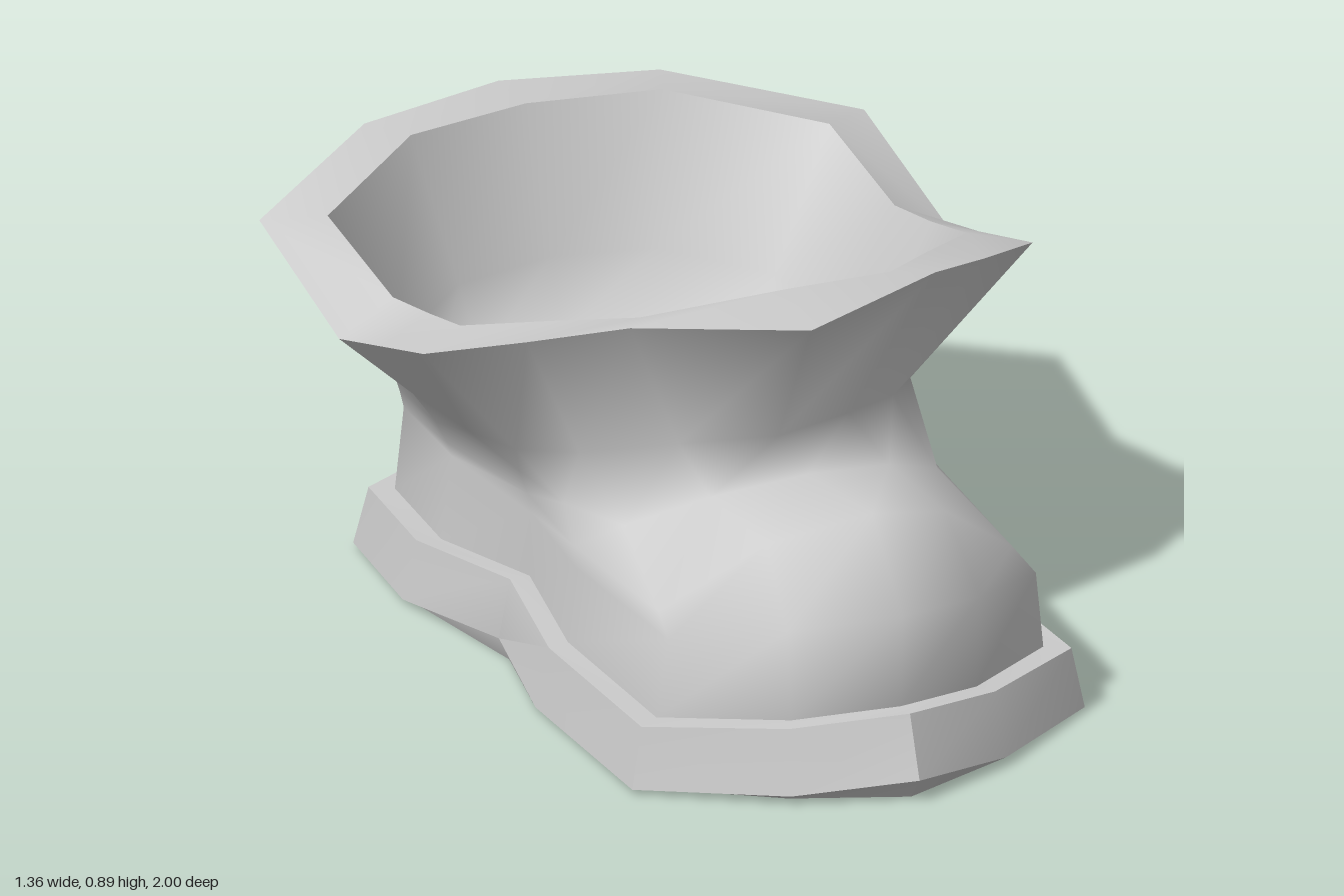
import * as THREE from 'three';
import { mergeVertices, toCreasedNormals } from 'three/addons/utils/BufferGeometryUtils.js';

// Each half section runs from the front centre along +x to the back centre: [x, y, z]
const soleEdge = [[0, .05, 1], [.24, .02, .9], [.505, .01, .71], [.5, .01, .24], [.455, .05, -.03],
  [.505, .01, -.38], [.47, .01, -.69], [.25, .01, -.81], [0, .01, -.835]];
const soleTop = [[0, .18, .955], [.23, .155, .87], [.48, .14, .7], [.475, .14, .25], [.435, .18, -.02],
  [.48, .14, -.37], [.45, .14, -.66], [.235, .14, -.775], [0, .14, -.8]];
const ankle = [[0, .38, .92], [.215, .35, .83], [.41, .31, .68], [.41, .3, .24], [.39, .32, -.02],
  [.41, .32, -.35], [.39, .32, -.62], [.2, .32, -.73], [0, .32, -.74]];
const toeCap = [[0, .55, .775], [.2, .49, .7], [.395, .34, .6], [.405, .34, .22], [.395, .36, -.02],
  [.42, .35, -.35], [.4, .36, -.62], [.205, .37, -.735], [0, .37, -.75]];
const instep = [[0, .52, .47], [.2, .49, .43], [.35, .42, .34], [.39, .4, .14], [.41, .41, -.03],
  [.445, .4, -.35], [.42, .42, -.62], [.22, .44, -.75], [0, .45, -.775]];
const neck = [[0, .55, .33], [.19, .54, .26], [.35, .5, .13], [.44, .48, .02], [.475, .47, -.13],
  [.505, .48, -.33], [.46, .5, -.64], [.25, .54, -.78], [0, .55, -.81]];
const rimOuter = [[0, .84, .485], [.34, .855, .35], [.51, .805, .22], [.68, .76, .09], [.68, .7, -.11],
  [.68, .64, -.31], [.675, .75, -.7], [.33, .81, -.935], [0, .82, -1]];
const rimInner = [[0, .89, .375], [.28, .835, .265], [.42, .805, .14], [.565, .775, .02], [.56, .74, -.14],
  [.56, .71, -.31], [.56, .77, -.62], [.28, .82, -.82], [0, .82, -.87]];
const innerNeck = [[0, .53, .27], [.17, .52, .21], [.31, .5, .1], [.4, .48, 0], [.43, .47, -.14],
  [.45, .47, -.32], [.42, .48, -.58], [.22, .52, -.72], [0, .53, -.75]];

const shift = (ring, sx, dy, sz) => ring.map(([x, y, z]) => [x * sx, y + dy, z * sz]);
const pointRing = (y, z) => soleEdge.map(() => [0, y, z]);

// Mirrors the half sections and skins them from first to last
function loft(...halves) {
  const rings = halves.map(h => [...h, ...h.slice(1, -1).reverse().map(([x, y, z]) => [-x, y, z])]);
  const n = rings[0].length, index = [];
  const same = (r, a, b) => rings[r][a].every((v, k) => Math.abs(v - rings[r][b][k]) < 1e-6);
  for (let r = 0; r < rings.length - 1; r++) {
    for (let i = 0; i < n; i++) {
      const j = (i + 1) % n, a = r * n + i, b = r * n + j;
      if (!same(r, i, j)) index.push(a, b, b + n);
      if (!same(r + 1, i, j)) index.push(a, b + n, a + n);
    }
  }
  let g = new THREE.BufferGeometry();
  g.setAttribute('position', new THREE.Float32BufferAttribute(rings.flat(2), 3));
  g.setIndex(index);
  g = mergeVertices(g);
  g.computeVertexNormals();
  return g;
}

export function createModel() {
  const group = new THREE.Group();
  const material = new THREE.MeshStandardMaterial({ color: 0xcccccc, side: THREE.DoubleSide });
  const add = (name, geometry) => {
    const mesh = new THREE.Mesh(geometry, material);
    mesh.name = name;
    group.add(mesh);
  };

  // Sole: underside, bevel, side wall and narrow welt
  const tread = shift(soleEdge, .95, 0, .96).map(([x, , z]) => [x, 0, z]);
  const bodyBase = shift(soleTop, .9, 0, .955);
  add('sole', toCreasedNormals(
    loft(pointRing(0, 0), tread, soleEdge, soleTop, bodyBase), 0.6));

  // Foot, ankle and flared cuff
  add('upper', loft(bodyBase, ankle, toeCap, instep, neck, rimOuter));

  // Sloping lip around the opening
  add('cuffRim', loft(rimOuter, rimInner));

  // Hollow inside with a rounded floor
  const innerAnkle = shift(innerNeck, .88, -.15, .93);
  add('lining', loft(rimInner, innerNeck, innerAnkle, pointRing(.27, -.24)));

  return group;
}
